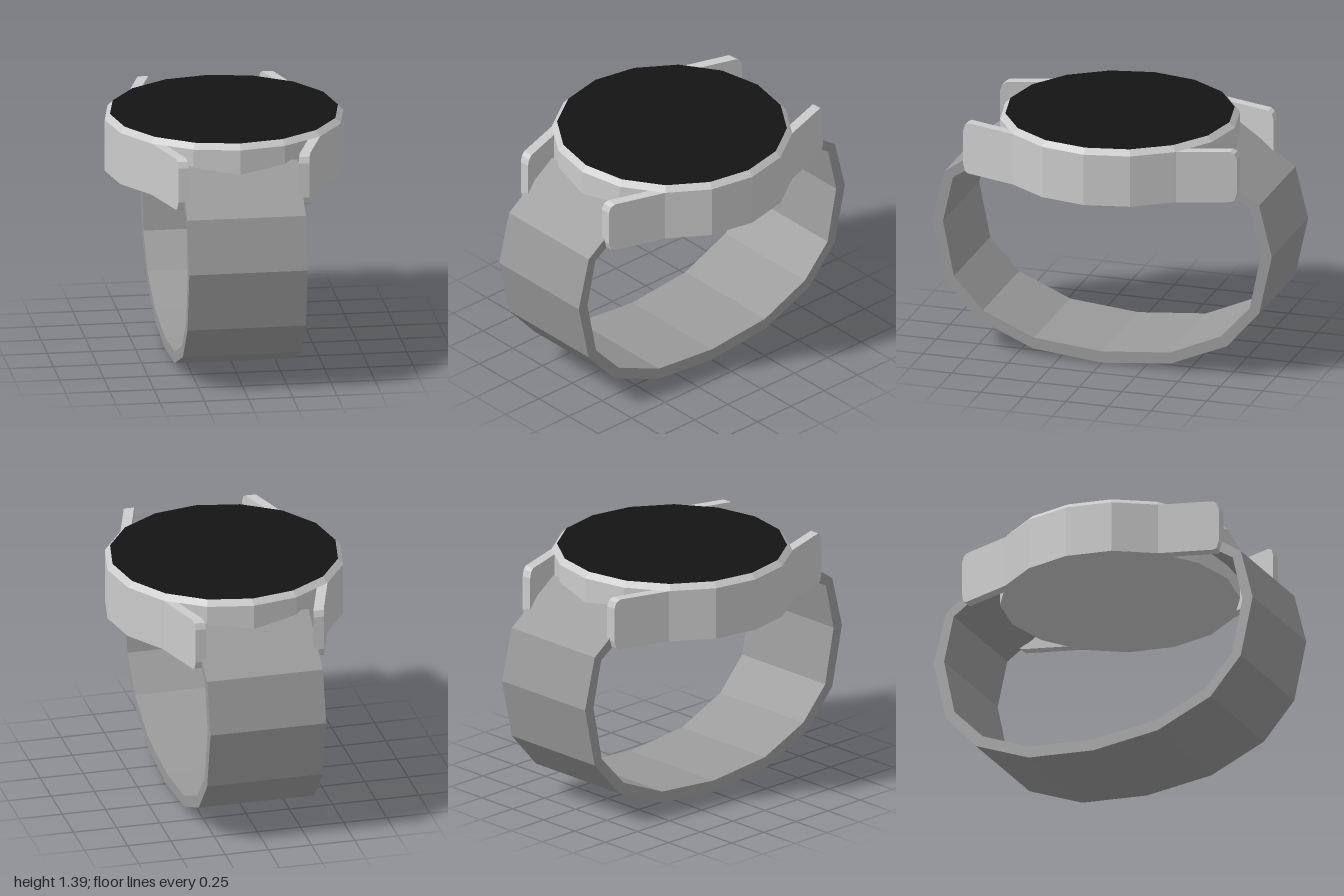
import * as THREE from 'three';

const metal = new THREE.MeshStandardMaterial({ color: 0xcccccc, flatShading: true });
const band = new THREE.MeshStandardMaterial({ color: 0x9b9b9b, flatShading: true });
const glass = new THREE.MeshStandardMaterial({ color: 0x141414, flatShading: true });

// Extrudes a (z, y) outline across x, centred on x = 0
function extrudeAcross(outline, width) {
  const shape = new THREE.Shape(outline.map(([z, y]) => new THREE.Vector2(z, y)));
  const geo = new THREE.ExtrudeGeometry(shape, { depth: width, bevelEnabled: false });
  return geo.translate(0, 0, -width / 2).rotateY(-Math.PI / 2);
}

// Lug: chamfered slab, slanted inwards towards its tip
function lugGeometry(side) {
  const geo = extrudeAcross([
    [0.42, 1.06], [0.775, 1.06], [0.793, 1.07], [0.805, 1.11],
    [0.805, 1.31], [0.793, 1.345], [0.77, 1.36], [0.42, 1.36],
  ], 0.06);
  const pos = geo.attributes.position;
  for (let i = 0; i < pos.count; i++) {
    const slant = 0.447 - 0.325 * (pos.getZ(i) - 0.477);
    pos.setX(i, pos.getX(i) + side * slant);
  }
  geo.computeVertexNormals();
  return geo;
}

export function createModel() {
  const model = new THREE.Group();
  model.name = 'wristwatch';
  const add = (name, geo, mat) => {
    const mesh = new THREE.Mesh(geo, mat);
    mesh.name = name;
    model.add(mesh);
    return mesh;
  };

  // Sixteen-sided case with a bevelled rim, closed by the glass
  const profile = [[0, 1.06], [0.675, 1.06], [0.675, 1.36], [0.645, 1.392]];
  add('case', new THREE.LatheGeometry(profile.map(([r, y]) => new THREE.Vector2(r, y)), 16), metal);
  add('glass', new THREE.CircleGeometry(0.645, 16).rotateX(-Math.PI / 2).translate(0, 1.392, 0), glass);

  // Four lugs
  for (const side of [-1, 1]) {
    add('frontLug', lugGeometry(side), metal);
    add('backLug', lugGeometry(side), metal).rotation.y = Math.PI;
  }

  // Strap: faceted loop whose ends run into the case
  const outer = [[0.6, 1.27], [0.925, 1.04], [1, 0.742], [0.925, 0.395], [0.735, 0.18], [0.405, 0.04]];
  const inner = [[0.6, 1.19], [0.875, 1.01], [0.935, 0.742], [0.87, 0.42], [0.7, 0.235], [0.4, 0.105]];
  const mirrored = (pts) => pts.map(([z, y]) => [-z, y]).reverse();
  const loop = [
    ...outer, [0, 0], ...mirrored(outer),
    ...inner.map(([z, y]) => [-z, y]), [0, 0.068], ...inner.slice().reverse(),
  ];
  add('strap', extrudeAcross(loop, 0.67), band);

  return model;
}
